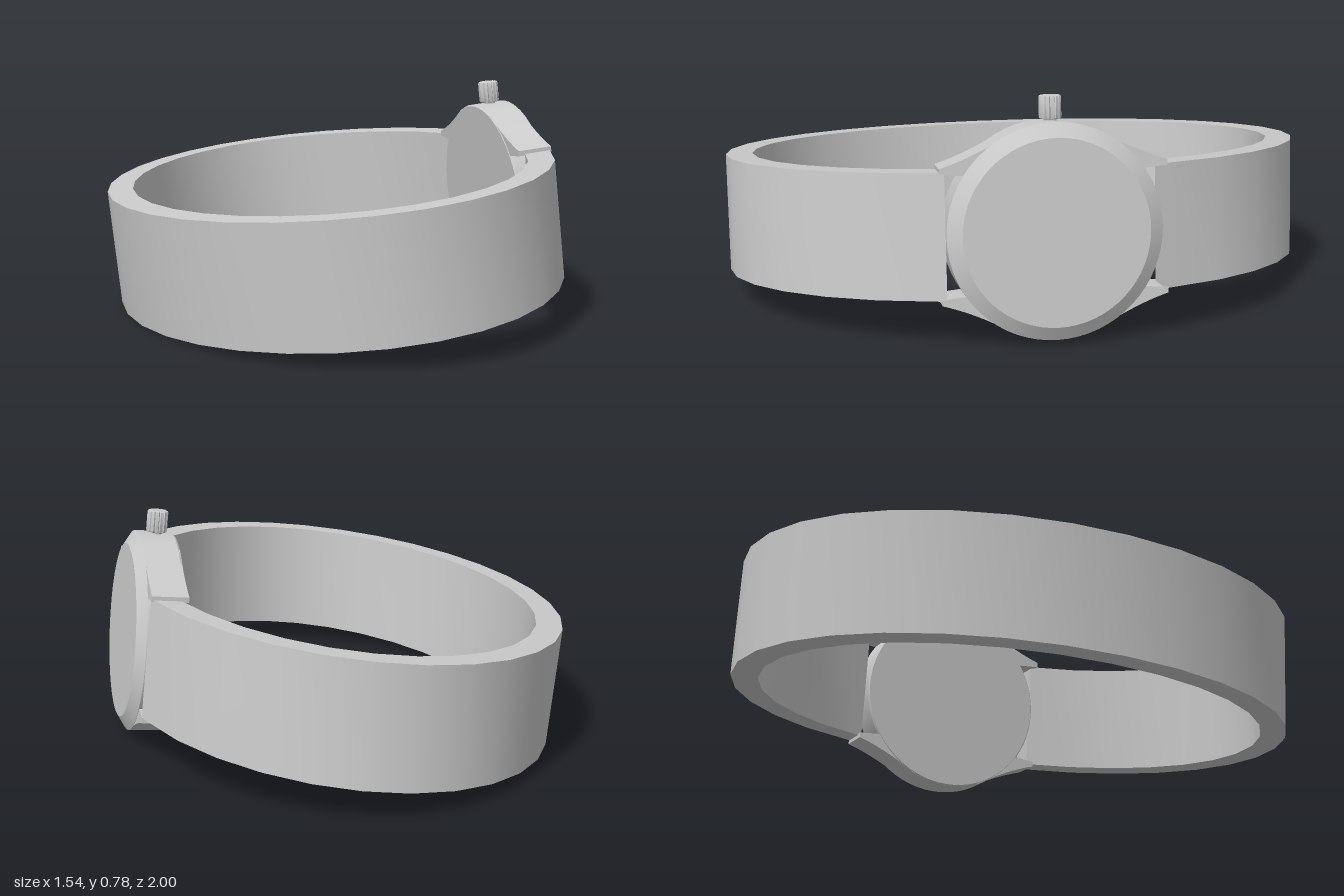
import * as THREE from 'three';
import { toCreasedNormals } from 'three/addons/utils/BufferGeometryUtils.js';

const material = new THREE.MeshStandardMaterial({ color: 0xcccccc });

function addPart(group, name, geometry, crease = 0.6) {
  const mesh = new THREE.Mesh(toCreasedNormals(geometry, crease), material);
  mesh.name = name;
  group.add(mesh);
  return mesh;
}

// Points along one elliptical edge of the strap, open where the case sits
function strapEdge(rx, rz, gap) {
  const start = Math.asin(gap / rz);
  const points = [];
  const add = (a) => points.push(new THREE.Vector2(rx * Math.cos(a), rz * Math.sin(a)));
  add(start);
  for (let k = 3; k <= 29; k++) add((k * Math.PI) / 16);
  add(2 * Math.PI - start);
  return points;
}

function strapGeometry() {
  const outline = [...strapEdge(0.757, 1, 0.345), ...strapEdge(0.668, 0.91, 0.345).reverse()];
  const geometry = new THREE.ExtrudeGeometry(new THREE.Shape(outline), { depth: 0.4, bevelEnabled: false });
  return geometry.translate(0, 0, -0.2).rotateX(-Math.PI / 2);
}

// Round case with a sloped bezel, turned about the x axis
function caseGeometry() {
  const profile = [[0, 0.588], [0.338, 0.588], [0.343, 0.595], [0.343, 0.712], [0.297, 0.741]];
  return new THREE.LatheGeometry(profile.map(([r, h]) => new THREE.Vector2(r, h)), 64).rotateZ(-Math.PI / 2);
}

// Concave horn sweeping from the case rim out over the strap end
function lugGeometry(sz, sy) {
  const shape = new THREE.Shape();
  shape.moveTo(0.13 * sz, 0.317 * sy);
  shape.quadraticCurveTo(0.25 * sz, 0.245 * sy, 0.36 * sz, 0.213 * sy);
  shape.lineTo(0.36 * sz, 0.195 * sy);
  shape.lineTo(0.285 * sz, 0.188 * sy);
  shape.lineTo(0.2 * sz, 0.2 * sy);
  const geometry = new THREE.ExtrudeGeometry(shape, { depth: 0.121, bevelEnabled: false, curveSegments: 10 });
  return geometry.rotateY(Math.PI / 2).translate(0.59, 0, 0);
}

// Fluted winding knob
function crownGeometry() {
  const teeth = 14;
  const points = [];
  for (let i = 0; i < teeth * 4; i++) {
    const a = (i / (teeth * 4)) * Math.PI * 2;
    const r = i % 4 < 2 ? 0.03 : 0.025;
    points.push(new THREE.Vector2(r * Math.cos(a), r * Math.sin(a)));
  }
  const geometry = new THREE.ExtrudeGeometry(new THREE.Shape(points), {
    depth: 0.06, bevelThickness: 0.007, bevelSize: 0.005, bevelSegments: 2,
  });
  return geometry.rotateX(-Math.PI / 2).translate(0.65, 0.355, 0);
}

export function createModel() {
  const model = new THREE.Group();
  model.name = 'wristwatch';

  // The whole watch rests tilted on the edge of its strap
  const watch = new THREE.Group();
  watch.name = 'tiltedWatch';
  watch.position.y = 0.283;
  watch.rotation.z = 0.11;
  model.add(watch);

  addPart(watch, 'strap', strapGeometry());
  addPart(watch, 'case', caseGeometry(), 0.5);
  addPart(watch, 'dial', new THREE.CircleGeometry(0.297, 64).rotateY(Math.PI / 2).translate(0.741, 0, 0));

  for (const sy of [1, -1]) {
    for (const sz of [1, -1]) {
      addPart(watch, `${sy > 0 ? 'upper' : 'lower'}${sz > 0 ? 'Back' : 'Front'}Lug`, lugGeometry(sz, sy));
    }
  }

  addPart(watch, 'crownStem', new THREE.CylinderGeometry(0.02, 0.02, 0.04, 24).translate(0.65, 0.345, 0));
  addPart(watch, 'crown', crownGeometry(), 0.5);
  return model;
}
